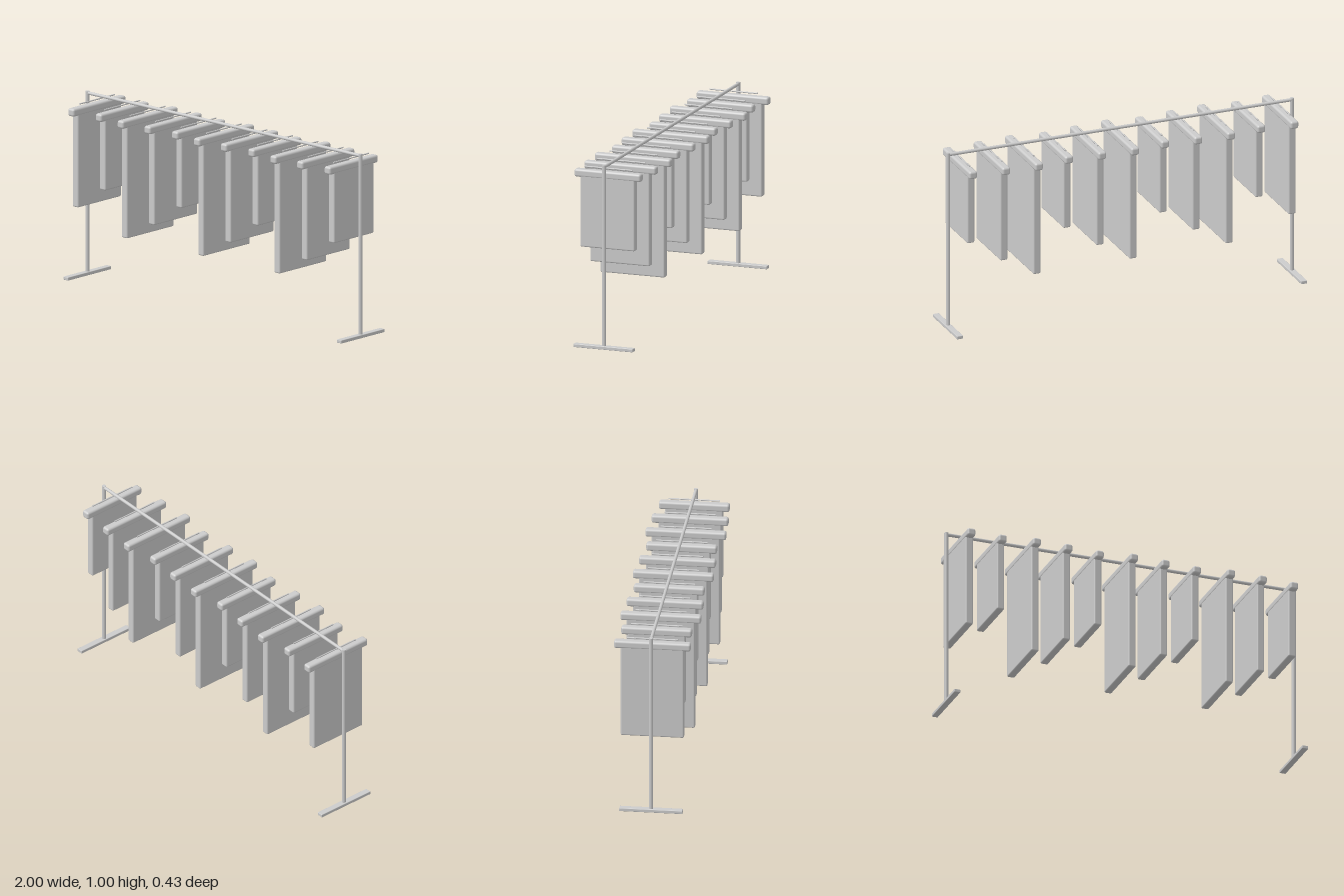
import * as THREE from 'three';
import { RoundedBoxGeometry } from 'three/addons/geometries/RoundedBoxGeometry.js';

const material = new THREE.MeshStandardMaterial({ color: 0xcccccc });

function add(parent, name, geometry, x, y, z = 0) {
  const mesh = new THREE.Mesh(geometry, material);
  mesh.name = name;
  mesh.position.set(x, y, z);
  parent.add(mesh);
  return mesh;
}

// One hanging garment: flat body, wider shoulder roll and the thin hanger bar above it
function createGarment(hem, bodyWidth, shoulderWidth) {
  const garment = new THREE.Group();
  const top = 0.925;
  add(garment, 'body', new RoundedBoxGeometry(0.042, top - hem, bodyWidth, 2, 0.008), 0, (top + hem) / 2);
  add(garment, 'shoulders', new RoundedBoxGeometry(0.046, 0.043, shoulderWidth, 2, 0.012), 0, 0.931);
  const bar = add(garment, 'hangerBar', new THREE.CylinderGeometry(0.004, 0.004, 0.272, 8), 0, 0.966);
  bar.rotation.x = Math.PI / 2;
  return garment;
}

export function createModel() {
  const model = new THREE.Group();
  model.name = 'clothesRack';

  // Frame: an upright and a foot at each end, joined by the top rail
  for (const side of [1, -1]) {
    const end = side > 0 ? 'left' : 'right';
    add(model, end + 'Post', new THREE.CylinderGeometry(0.011, 0.011, 0.99, 12), side * 0.982, 0.505);
    add(model, end + 'Foot', new RoundedBoxGeometry(0.034, 0.018, 0.336, 2, 0.003), side * 0.983, 0.009);
  }
  const rail = add(model, 'rail', new THREE.CylinderGeometry(0.009, 0.009, 1.97, 12), 0, 0.99);
  rail.rotation.z = Math.PI / 2;

  // Eleven garments cycling through medium, short and long: [hem, body width, shoulder width]
  const sizes = [[0.41, 0.336, 0.408], [0.532, 0.308, 0.376], [0.308, 0.364, 0.43]];
  for (let i = 0; i < 11; i++) {
    const garment = createGarment(...sizes[i % 3]);
    garment.name = 'garment' + (i + 1);
    garment.position.x = (i - 5) * 0.183;
    model.add(garment);
  }
  return model;
}
